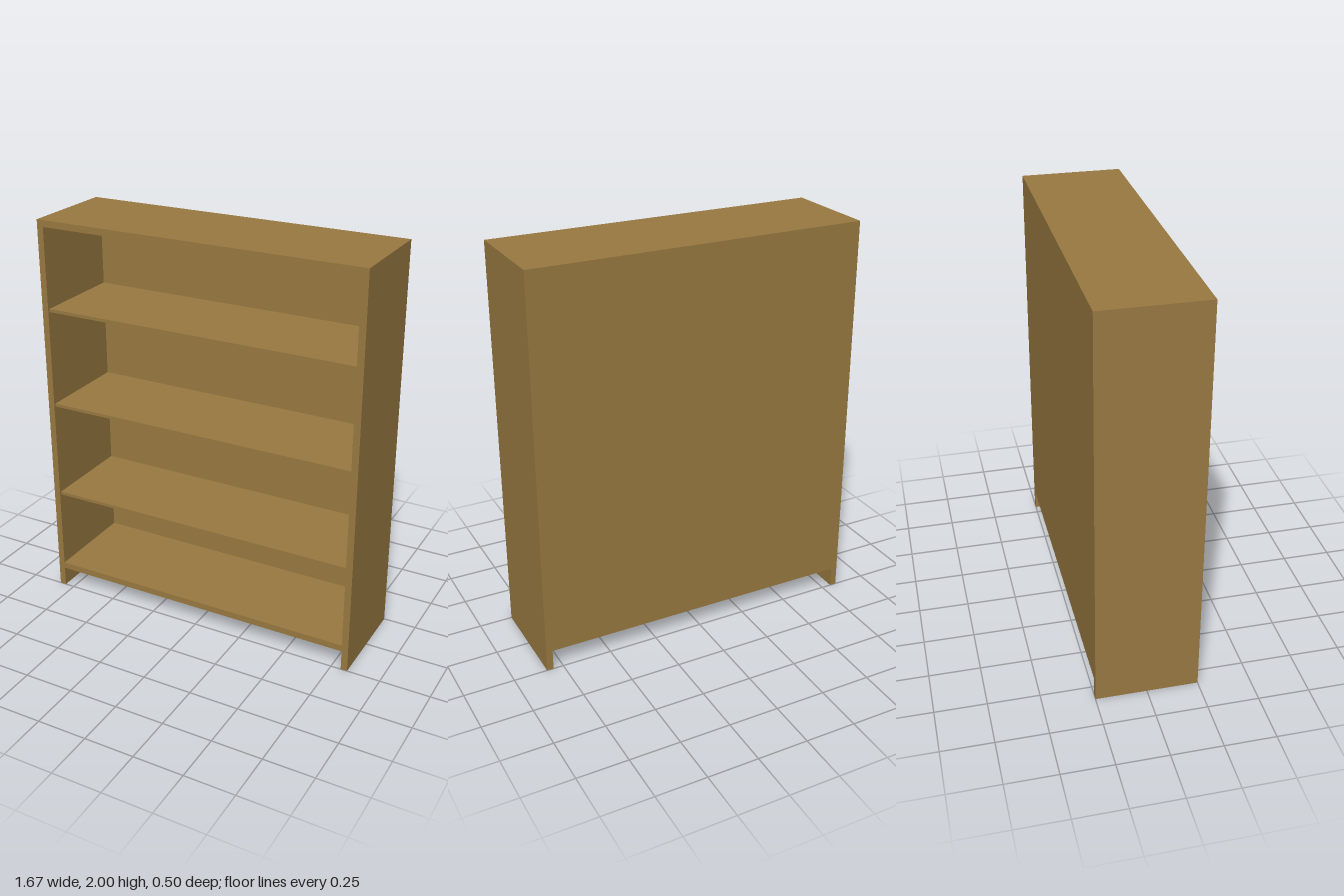
import * as THREE from 'three';

export function createModel() {
  const model = new THREE.Group();
  model.name = 'bookcase';
  const wood = new THREE.MeshStandardMaterial({ color: 0x987941 });
  wood.name = 'brown wood';

  const W = 1.667, H = 2, D = 0.5; // outer size
  const T = 0.033; // frame board thickness
  const shelfT = 0.016, backT = 0.012, footH = 0.103;
  const innerW = W - 2 * T;

  function board(name, w, h, d, x, y, z) {
    const mesh = new THREE.Mesh(new THREE.BoxGeometry(w, h, d), wood);
    mesh.name = name;
    mesh.position.set(x, y, z);
    model.add(mesh);
  }

  // Side panels run down to the floor and form the feet
  for (const [name, s] of [['leftSide', 1], ['rightSide', -1]]) {
    board(name, T, H, D, s * (W - T) / 2, H / 2, 0);
  }

  // Top and bottom boards fit between the sides
  board('topBoard', innerW, T, D, 0, H - T / 2, 0);
  board('bottomBoard', innerW, T, D, 0, footH + T / 2, 0);

  // Thin back panel, flush with the rear edges
  const backBottom = footH + T, backTop = H - T;
  board('backPanel', innerW, backTop - backBottom, backT,
    0, (backTop + backBottom) / 2, -D / 2 + backT / 2);

  // Three thin shelves, set slightly back from the front edge
  const setback = 0.01, shelfD = D - backT - setback;
  for (let i = 0; i < 3; i++) {
    board('shelf' + (i + 1), innerW, shelfT, shelfD,
      0, 0.552 + i * 0.5, (backT - setback) / 2);
  }

  return model;
}
